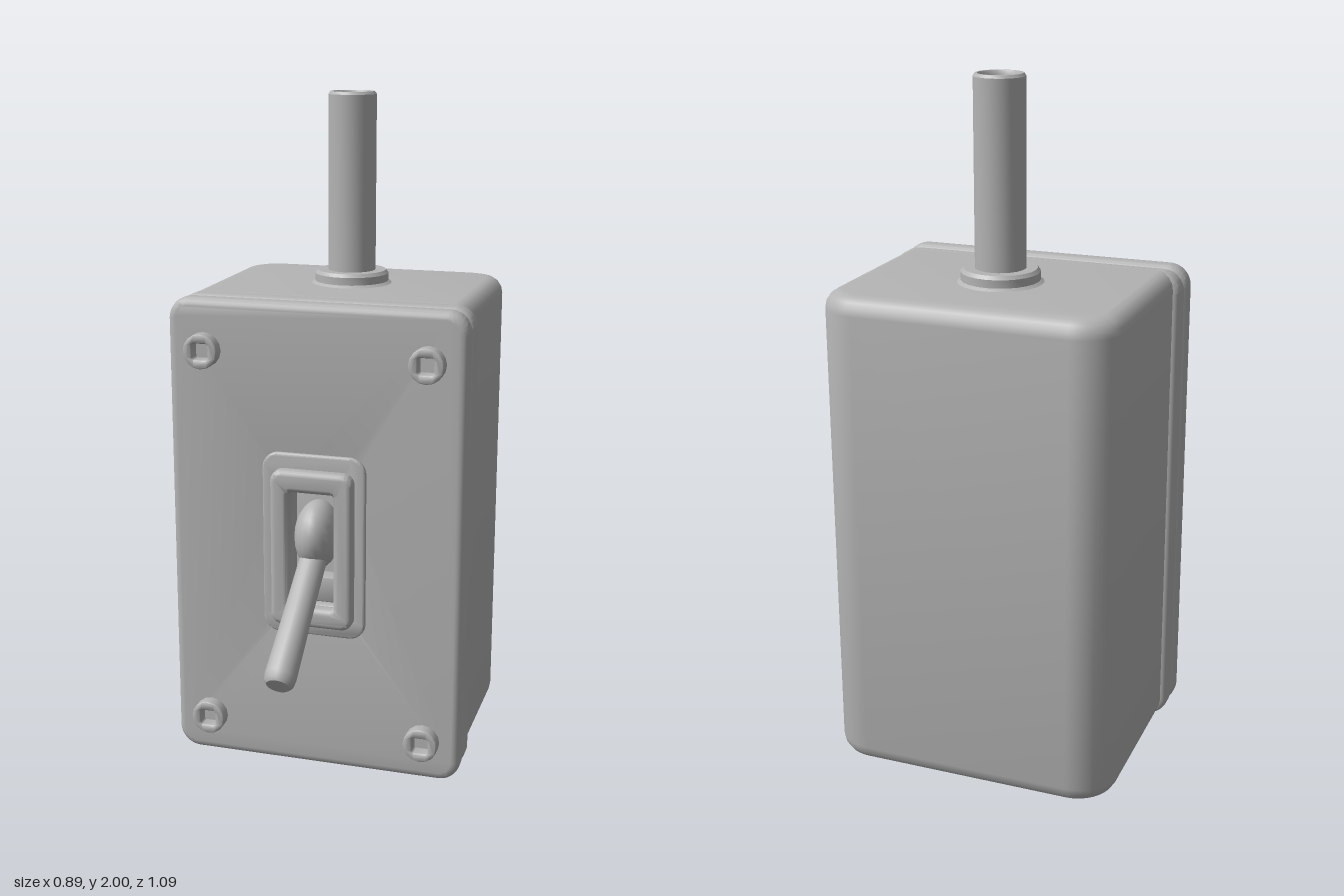
import * as THREE from 'three';
import { toCreasedNormals } from 'three/addons/utils/BufferGeometryUtils.js';

const grey = new THREE.MeshStandardMaterial({ color: 0xb4b4b4 });
grey.name = 'grey metal';

// Rounded rectangle path; rTop and rBottom are the corner radii at high and low y
function roundedRect(path, x0, y0, x1, y1, rBottom, rTop = rBottom) {
  path.moveTo(x0 + rBottom, y0);
  path.lineTo(x1 - rBottom, y0);
  path.absarc(x1 - rBottom, y0 + rBottom, rBottom, -Math.PI / 2, 0);
  path.lineTo(x1, y1 - rTop);
  path.absarc(x1 - rTop, y1 - rTop, rTop, 0, Math.PI / 2);
  path.lineTo(x0 + rTop, y1);
  path.absarc(x0 + rTop, y1 - rTop, rTop, Math.PI / 2, Math.PI);
  path.lineTo(x0, y0 + rBottom);
  path.absarc(x0 + rBottom, y0 + rBottom, rBottom, Math.PI, Math.PI * 1.5);
  return path;
}

// Extrusion that fills z0..z1 exactly, bevel included
function slab(shape, z0, z1, bevel) {
  const geometry = new THREE.ExtrudeGeometry(shape, {
    depth: z1 - z0 - 2 * bevel, bevelThickness: bevel, bevelSize: bevel,
    bevelOffset: -bevel, bevelSegments: 4, curveSegments: 8,
  });
  geometry.translate(0, 0, z0 + bevel);
  return toCreasedNormals(geometry, 0.6);
}

export function createModel() {
  const model = new THREE.Group();
  model.name = 'switchBox';
  const add = (name, geometry, parent = model) => {
    const mesh = new THREE.Mesh(geometry, grey);
    mesh.name = name;
    parent.add(mesh);
    return mesh;
  };
  const rect = (...args) => roundedRect(new THREE.Shape(), ...args);
  const cut = (shape, ...args) => {
    shape.holes.push(roundedRect(new THREE.Path(), ...args));
    return shape;
  };

  // Housing: plan outline with wide rear corners, extruded upward
  const housing = slab(rect(-0.428, -0.09, 0.428, 0.54, 0.05, 0.12), 0.01, 1.43, 0.05);
  housing.rotateX(-Math.PI / 2);
  add('housing', housing);

  // Flange, recessed gasket and front cover with the switch opening
  add('flange', slab(rect(-0.447, 0.003, 0.447, 1.428, 0.065), 0.025, 0.1, 0.022));
  add('gasket', slab(rect(-0.43, 0.02, 0.43, 1.413, 0.06), 0.07, 0.115, 0.004));
  add('cover', slab(cut(rect(-0.447, 0, 0.447, 1.43, 0.065),
    -0.07, 0.52, 0.07, 0.885, 0.01), 0.105, 0.175, 0.024));

  // Switch surround: thin base plate and raised bezel
  add('switchBase', slab(cut(rect(-0.157, 0.43, 0.157, 0.99, 0.05),
    -0.07, 0.52, 0.07, 0.885, 0.01), 0.165, 0.186, 0.007));
  add('switchBezel', slab(cut(rect(-0.125, 0.465, 0.125, 0.945, 0.035),
    -0.068, 0.525, 0.068, 0.88, 0.01), 0.17, 0.22, 0.016));

  // Pivot, lower stop and tilted lever
  const pivot = add('leverPivot', new THREE.SphereGeometry(1, 20, 14));
  pivot.scale.set(0.066, 0.105, 0.1);
  pivot.position.set(0, 0.735, 0.142);
  add('lowerStop', slab(rect(-0.064, 0.53, 0.064, 0.61, 0.01), 0.1, 0.165, 0.008));

  const start = new THREE.Vector3(0, 0.7, 0.15);
  const tip = new THREE.Vector3(0, 0.415, 0.525);
  const length = start.distanceTo(tip);
  const leverProfile = [[0, 0], [0.04, 0], [0.042, length * 0.5], [0.046, length - 0.03],
    [0.043, length - 0.01], [0.034, length], [0, length]];
  const lever = add('lever', toCreasedNormals(new THREE.LatheGeometry(
    leverProfile.map(([r, y]) => new THREE.Vector2(r, y)), 16), 0.8));
  lever.position.copy(start);
  lever.quaternion.setFromUnitVectors(new THREE.Vector3(0, 1, 0), tip.clone().sub(start).normalize());

  // Cover screws with square sockets
  for (const x of [-0.335, 0.335]) {
    for (const y of [0.125, 1.28]) {
      const screw = new THREE.Group();
      screw.name = 'coverScrew';
      screw.position.set(x, y, 0);
      model.add(screw);
      const head = new THREE.Shape();
      head.absarc(0, 0, 0.052, 0, Math.PI * 2);
      add('screwHead', slab(cut(head, -0.024, -0.024, 0.024, 0.024, 0.006), 0.165, 0.214, 0.006), screw);
    }
  }

  // Hollow conduit and its collar
  const conduitProfile = [[0, 1.5], [0.054, 1.85], [0.054, 1.99], [0.06, 2], [0.066, 2],
    [0.072, 1.992], [0.072, 1.4]].reverse();
  const collarProfile = [[0.122, 1.41], [0.122, 1.43], [0.112, 1.437], [0.112, 1.46], [0.104, 1.47], [0.07, 1.47]];
  for (const [name, profile] of [['conduit', conduitProfile], ['conduitCollar', collarProfile]]) {
    const geometry = new THREE.LatheGeometry(profile.map(([r, y]) => new THREE.Vector2(r, y)), 24);
    add(name, toCreasedNormals(geometry, 0.6)).position.z = -0.22;
  }

  return model;
}
